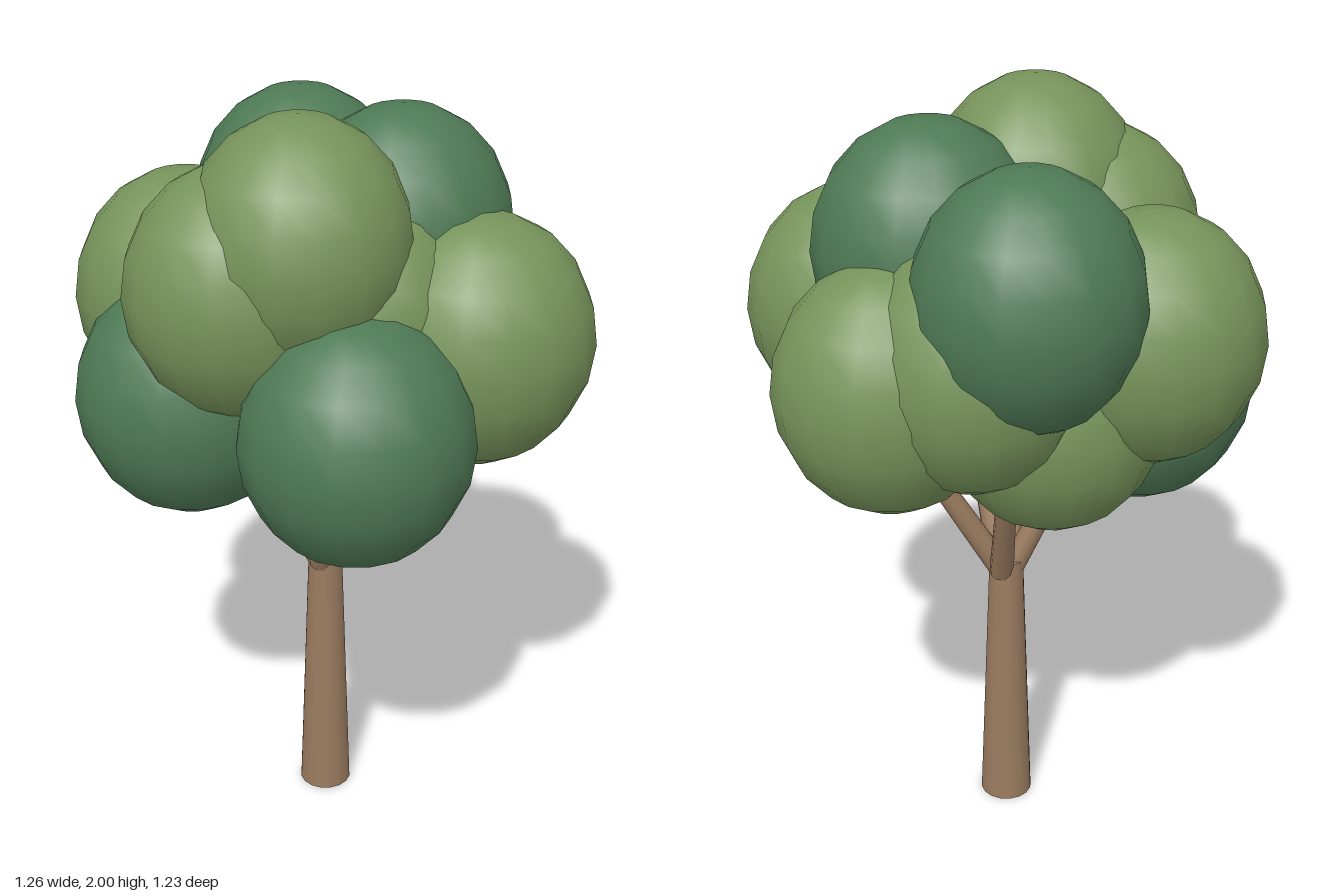
import * as THREE from 'three';

const bark = new THREE.MeshStandardMaterial({ color: 0x9a7b5f });
bark.name = 'bark brown';
const lightLeaf = new THREE.MeshStandardMaterial({ color: 0x77945b });
lightLeaf.name = 'light leaf green';
const darkLeaf = new THREE.MeshStandardMaterial({ color: 0x4f7a55 });
darkLeaf.name = 'dark leaf green';

// Tapered round limb between two points
function limb(name, from, to, r0, r1, sides) {
  const a = new THREE.Vector3(...from), b = new THREE.Vector3(...to);
  const dir = b.clone().sub(a);
  const mesh = new THREE.Mesh(new THREE.CylinderGeometry(r1, r0, dir.length(), sides), bark);
  mesh.position.copy(a).add(b).multiplyScalar(0.5);
  mesh.quaternion.setFromUnitVectors(new THREE.Vector3(0, 1, 0), dir.normalize());
  mesh.name = name;
  return mesh;
}

export function createModel() {
  const tree = new THREE.Group();
  tree.name = 'tree';

  // Trunk
  tree.add(limb('trunk', [0, 0, -0.03], [0, 0.75, -0.03], 0.07, 0.045, 16));

  // Branches fanning out from the top of the trunk, with rounded tips
  const tips = [
    [0.28, 1.17, -0.03],
    [-0.2, 1.09, -0.03],
    [0.06, 1.06, 0.11],
    [-0.05, 1.08, 0.16],
    [0.03, 1.1, -0.24],
  ];
  for (const tip of tips) {
    const base = [Math.sign(tip[0]) * Math.min(0.015, Math.abs(tip[0])), 0.72, -0.03 + (tip[2] + 0.03) * 0.08];
    tree.add(limb('branch', base, tip, 0.032, 0.025, 10));
    const end = new THREE.Mesh(new THREE.SphereGeometry(0.025, 10, 6), bark);
    end.position.set(...tip);
    end.name = 'branchTip';
    tree.add(end);
  }

  // Leaf clusters: centre, radii, material
  const clusters = [
    [[0, 1.26, 0.335], [0.29, 0.318, 0.28], darkLeaf],
    [[-0.345, 1.25, -0.03], [0.29, 0.318, 0.265], darkLeaf],
    [[0, 1.61, -0.345], [0.28, 0.318, 0.27], darkLeaf],
    [[0.19, 1.64, -0.03], [0.285, 0.318, 0.255], darkLeaf],
    [[-0.1, 1.69, 0.145], [0.275, 0.31, 0.27], lightLeaf],
    [[-0.235, 1.57, 0.11], [0.285, 0.315, 0.26], lightLeaf],
    [[-0.32, 1.45, -0.22], [0.285, 0.318, 0.265], lightLeaf],
    [[0.34, 1.42, 0.175], [0.29, 0.32, 0.258], lightLeaf],
    [[0.31, 1.36, -0.215], [0.285, 0.318, 0.258], lightLeaf],
    [[0.12, 1.43, -0.275], [0.275, 0.318, 0.265], lightLeaf],
    [[-0.09, 1.26, -0.19], [0.285, 0.315, 0.255], lightLeaf],
    [[0.06, 1.48, 0.1], [0.28, 0.315, 0.27], lightLeaf],
  ];
  const ball = new THREE.SphereGeometry(1, 16, 10);
  for (const [centre, radii, material] of clusters) {
    const mesh = new THREE.Mesh(ball, material);
    mesh.position.set(...centre);
    mesh.scale.set(...radii);
    mesh.name = 'leafCluster';
    tree.add(mesh);
  }
  return tree;
}
